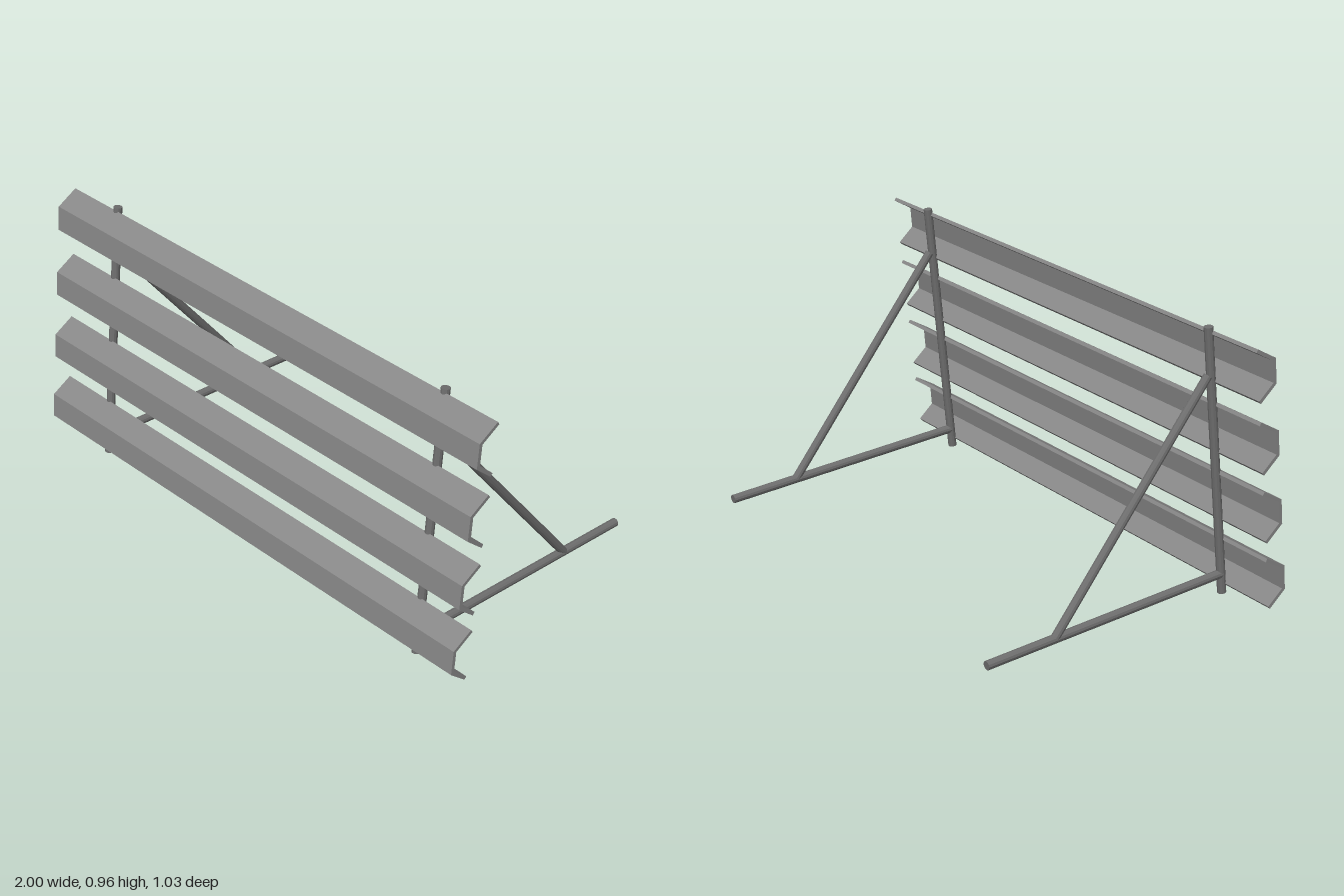
import * as THREE from 'three';

const railMaterial = new THREE.MeshStandardMaterial({ color: 0x888888, flatShading: true });
const frameMaterial = new THREE.MeshStandardMaterial({ color: 0x6e6e6e, flatShading: true });

// Straight twelve-sided pipe between two [z, y] points
function pipe(name, a, b, radius = 0.0155) {
  const start = new THREE.Vector3(0, a[1], a[0]);
  const end = new THREE.Vector3(0, b[1], b[0]);
  const dir = end.clone().sub(start);
  const mesh = new THREE.Mesh(new THREE.CylinderGeometry(radius, radius, dir.length(), 12), frameMaterial);
  mesh.name = name;
  mesh.position.copy(start).add(end).multiplyScalar(0.5);
  mesh.quaternion.setFromUnitVectors(new THREE.Vector3(0, 1, 0), dir.normalize());
  return mesh;
}

// Mitred offset of an open polyline to one side
function offsetLine(points, distance) {
  return points.map((p, i) => {
    const normals = [];
    for (const [a, b] of [[i - 1, i], [i, i + 1]]) {
      if (a < 0 || b >= points.length) continue;
      const d = points[b].clone().sub(points[a]).normalize();
      normals.push(new THREE.Vector2(-d.y, d.x));
    }
    const n = normals.reduce((s, v) => s.add(v), new THREE.Vector2()).normalize();
    return p.clone().addScaledVector(n, distance / n.dot(normals[normals.length - 1]));
  });
}

// Folded sheet rail, open towards the post; (z, y) relative to its top edge
function railGeometry() {
  const line = [[0, 0], [0.073, -0.042], [0.081, -0.123], [0.022, -0.175]]
    .map(([z, y]) => new THREE.Vector2(z, y));
  const outline = [...offsetLine(line, 0.0062), ...offsetLine(line, -0.0062).reverse()];
  const geometry = new THREE.ExtrudeGeometry(new THREE.Shape(outline), { depth: 2, bevelEnabled: false });
  geometry.rotateY(-Math.PI / 2);
  geometry.translate(1, 0, 0);
  return geometry;
}

export function createModel() {
  const model = new THREE.Group();
  model.name = 'barrier';

  // Two triangular supports
  for (const side of [1, -1]) {
    const support = new THREE.Group();
    support.name = side > 0 ? 'leftSupport' : 'rightSupport';
    support.position.x = side * 0.777;
    support.add(
      pipe('post', [0.445, 0.002], [0.34, 0.957]),
      pipe('foot', [0.437, 0.072], [-0.516, 0.024]),
      pipe('brace', [0.346, 0.79], [-0.254, 0.035])
    );
    model.add(support);
  }

  // Four rails following the lean of the posts
  const geometry = railGeometry();
  [0.94, 0.691, 0.447, 0.207].forEach((y, i) => {
    const rail = new THREE.Mesh(geometry, railMaterial);
    rail.name = `rail${i + 1}`;
    rail.position.set(0, y, 0.346 + (0.94 - y) * 0.114);
    model.add(rail);
  });

  return model;
}
